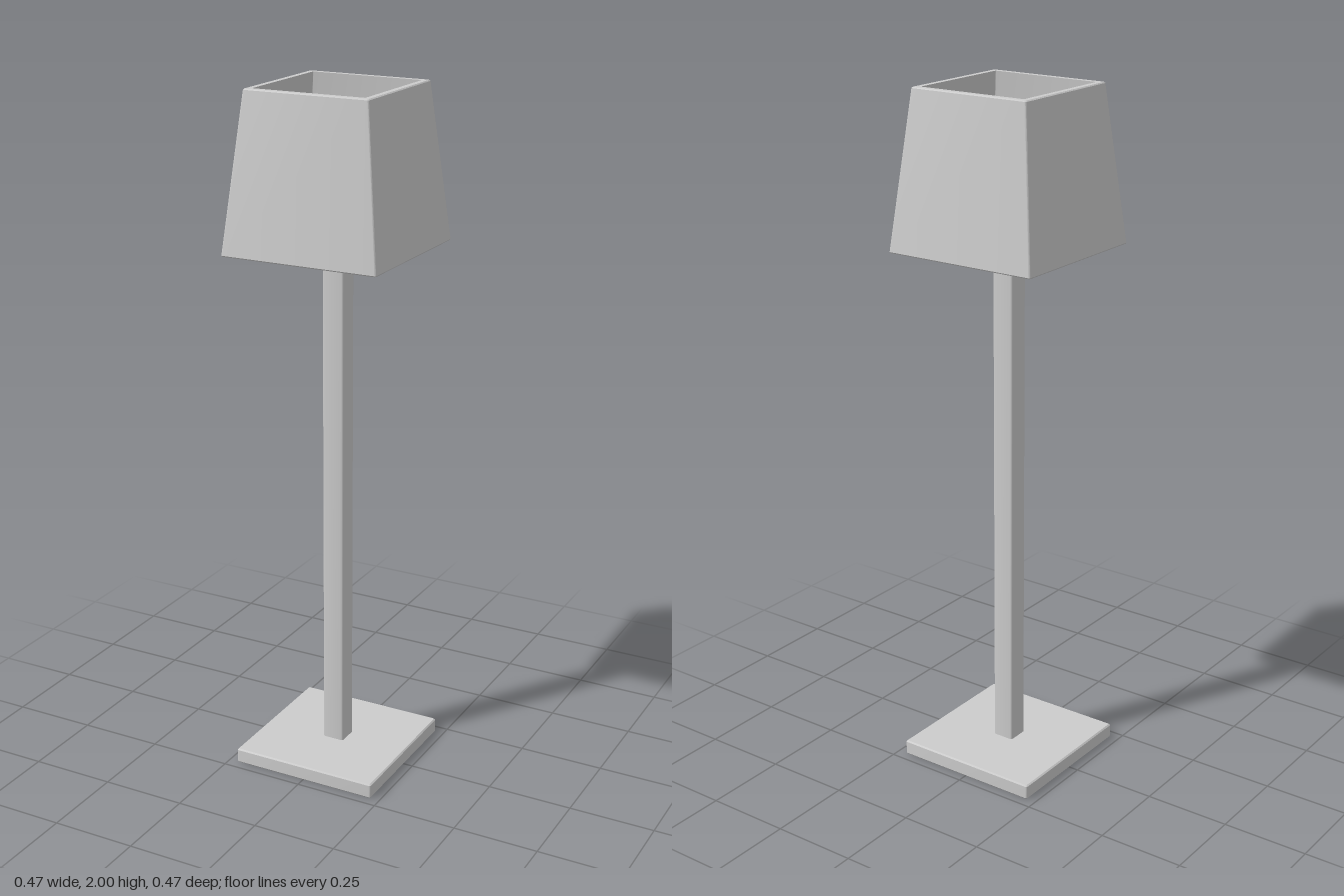
import * as THREE from 'three';
import { toCreasedNormals } from 'three/addons/utils/BufferGeometryUtils.js';

const CORNER_STEPS = 4;

// Outline of a rounded square at height y, counter-clockwise seen from above
function ring(half, radius, y) {
  const points = [];
  for (let corner = 0; corner < 4; corner++) {
    const middle = Math.PI / 4 + corner * Math.PI / 2;
    const cx = Math.sign(Math.cos(middle)) * (half - radius);
    const cz = -Math.sign(Math.sin(middle)) * (half - radius);
    for (let s = 0; s <= CORNER_STEPS; s++) {
      const a = (corner + s / CORNER_STEPS) * Math.PI / 2;
      points.push(new THREE.Vector3(cx + radius * Math.cos(a), y, cz - radius * Math.sin(a)));
    }
  }
  return points;
}

// Skin through a list of [half width, corner radius, height] sections
function loft(sections) {
  const rings = sections.map((s) => ring(...s));
  const positions = [];
  const triangle = (a, b, c) => {
    const area = b.clone().sub(a).cross(c.clone().sub(a)).length();
    if (area > 1e-10) for (const p of [a, b, c]) positions.push(p.x, p.y, p.z);
  };
  for (let k = 0; k < rings.length - 1; k++) {
    const low = rings[k], high = rings[k + 1];
    for (let i = 0; i < low.length; i++) {
      const j = (i + 1) % low.length;
      triangle(low[i], low[j], high[j]);
      triangle(low[i], high[j], high[i]);
    }
  }
  const geometry = new THREE.BufferGeometry();
  geometry.setAttribute('position', new THREE.Float32BufferAttribute(positions, 3));
  return toCreasedNormals(geometry, Math.PI / 6);
}

export function createModel() {
  const model = new THREE.Group();
  model.name = 'tableLamp';
  const material = new THREE.MeshStandardMaterial({ color: 0xcccccc });
  const add = (name, sections) => {
    const mesh = new THREE.Mesh(loft(sections), material);
    mesh.name = name;
    model.add(mesh);
  };

  // Square foot plate with softened edges
  add('base', [
    [0, 0, 0], [0.219, 0.004, 0], [0.223, 0.006, 0.004],
    [0.223, 0.006, 0.041], [0.219, 0.004, 0.045], [0, 0, 0.045],
  ]);

  // Square post with rounded corners, ending inside the shade
  add('post', [
    [0, 0, 0.04], [0.033, 0.007, 0.04], [0.033, 0.007, 1.8], [0, 0, 1.8],
  ]);

  // Tapered shade, open at both ends: outside, top rim, inside, bottom rim
  add('shade', [
    [0.232, 0.005, 1.553], [0.234, 0.005, 1.556],
    [0.186, 0.005, 1.997], [0.183, 0.004, 2],
    [0.167, 0.001, 2], [0.215, 0.001, 1.553], [0.232, 0.005, 1.553],
  ]);

  return model;
}
